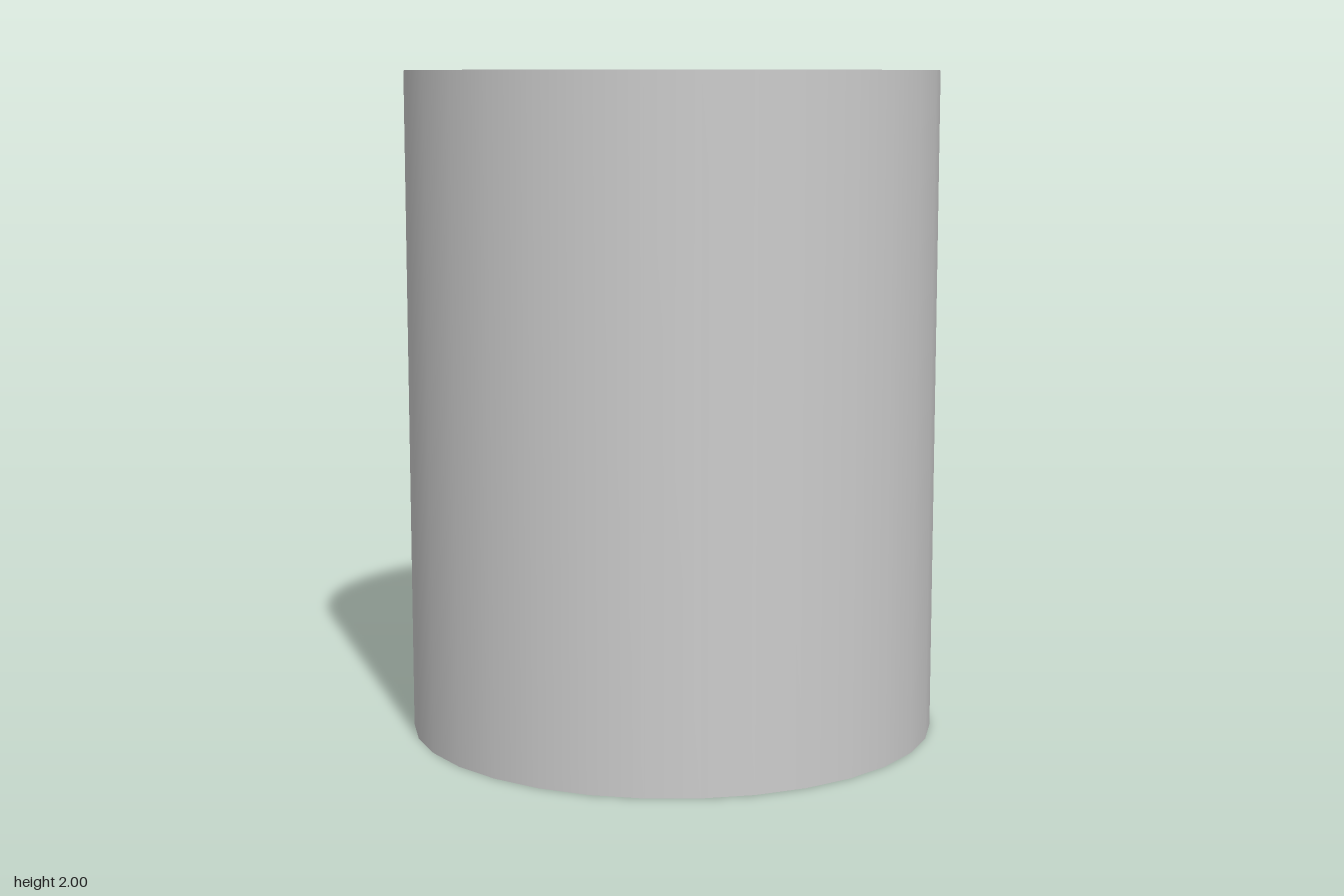
import * as THREE from 'three';

const SIDES = 32;

export function createModel() {
  const group = new THREE.Group();
  group.name = 'cup';
  const material = new THREE.MeshStandardMaterial({ color: 0xcccccc });

  // Profile [radius, height] from the underside, over the rim, down to the recessed floor
  const profile = [[0, 0], [0.8, 0], [0.8, 2], [0.71, 2], [0.685, 1.81], [0, 1.81]];
  const names = ['base', 'outerWall', 'rim', 'innerWall', 'recessedFloor'];

  // One lathe per stretch of the profile, so each is smooth with sharp edges between
  names.forEach((name, i) => {
    const points = [profile[i], profile[i + 1]].map(([r, y]) => new THREE.Vector2(r, y));
    const mesh = new THREE.Mesh(new THREE.LatheGeometry(points, SIDES), material);
    mesh.name = name;
    group.add(mesh);
  });
  return group;
}
